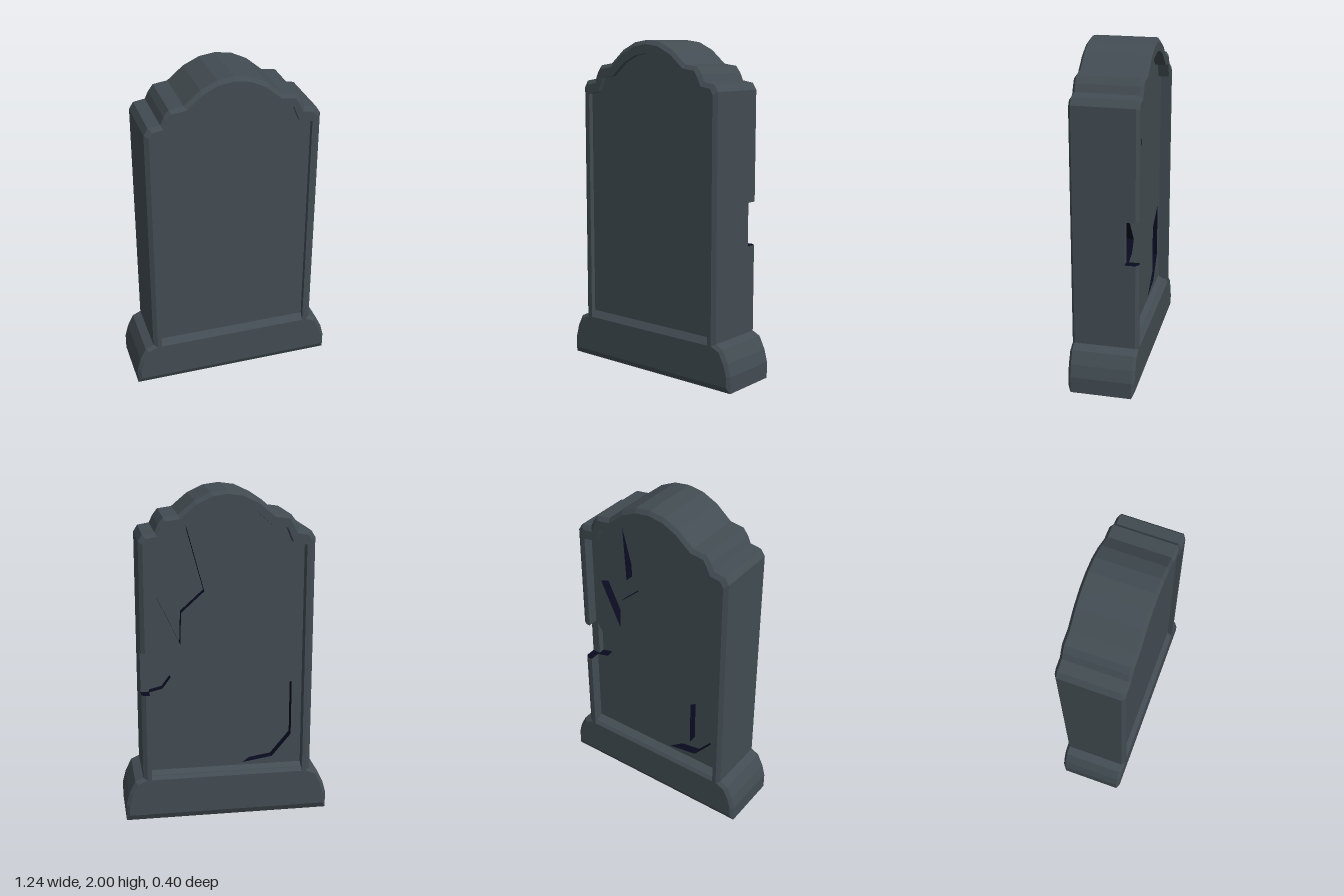
import * as THREE from 'three';

const stone = new THREE.MeshStandardMaterial({ color: 0x424c52 });
stone.name = 'slateStone';
const dark = new THREE.MeshStandardMaterial({ color: 0x0a0b20, side: THREE.DoubleSide });
dark.name = 'crackShadow';

// Depths: panel faces, notch through the rim, bottom of the cracks
const FRONT = 0.17, BACK = -0.135, NOTCH_Z = -0.12, FLOOR = -0.08;

// Right half outlines, bottom to apex; all have matching points
const OUTER = [[0.515, 0.26], [0.515, 0.8], [0.515, 1.06], [0.515, 1.715], [0.49, 1.755], [0.42, 1.767],
  [0.4, 1.81], [0.37, 1.85], [0.285, 1.862], [0.19, 1.942], [0.095, 1.987], [0, 2]];
const RIDGE = [[0.49, 0.26], [0.49, 0.8], [0.49, 1.06], [0.49, 1.7], [0.47, 1.732], [0.405, 1.743],
  [0.383, 1.79], [0.36, 1.828], [0.275, 1.84], [0.182, 1.918], [0.09, 1.963], [0, 1.976]];
const INNER = [[0.465, 0.3], [0.465, 0.8], [0.465, 1.06], [0.465, 1.675], [0.44, 1.68], [0.386, 1.69],
  [0.367, 1.735], [0.35, 1.777], [0.265, 1.788], [0.17, 1.87], [0.085, 1.91], [0, 1.924]];
const LIP = [[0.465, 0.26], ...INNER.slice(1)];
const NOTCH = [[0.465, 0.8], [0.385, 0.82], [0.334, 0.89], [0.465, 1.06]];
const CRACKS = {
  upperCrack: [[0.235, 1.795], [0.215, 1.45], [0.41, 1.375], [0.275, 1.09], [0.268, 1.28], [0.13, 1.405]],
  lowerCrack: [[-0.404, 0.83], [-0.25, 0.73], [-0.25, 0.425], [-0.1, 0.315], [-0.287, 0.345], [-0.404, 0.485]],
};

const mirror = (half) => [...half, ...half.slice(0, -1).reverse().map(([x, y]) => [-x, y])];
const atZ = (pts, z) => pts.map(([x, y]) => [x, y, z]);

function mesh(name, geometry, material = stone) {
  const m = new THREE.Mesh(geometry, material);
  m.name = name;
  return m;
}

// Flat-shaded skin over successive loops; skip(band, segment) leaves gaps
function skin(loops, closed = true, skip = () => false) {
  const pos = [];
  for (let b = 0; b < loops.length - 1; b++) {
    const A = loops[b], B = loops[b + 1], n = A.length;
    for (let i = 0; i < (closed ? n : n - 1); i++) {
      if (skip(b, i)) continue;
      const j = (i + 1) % n;
      pos.push(...A[i], ...B[i], ...B[j], ...A[i], ...B[j], ...A[j]);
    }
  }
  const g = new THREE.BufferGeometry();
  g.setAttribute('position', new THREE.Float32BufferAttribute(pos, 3));
  g.computeVertexNormals();
  return g;
}

// Flat plate facing front (dir 1) or back (dir -1)
function plate(pts, z, dir, holes = []) {
  const flip = (list) => list.map(([x, y]) => new THREE.Vector2(x * dir, y));
  const shape = new THREE.Shape(flip(pts));
  shape.holes = holes.map((h) => new THREE.Path(flip(h)));
  const g = new THREE.ShapeGeometry(shape);
  if (dir < 0) g.rotateY(Math.PI);
  return g.translate(0, 0, z);
}

export function createModel() {
  const group = new THREE.Group();
  group.name = 'gravestone';

  // Slab sides, raised flat rim and sloped sill, open where the notch breaks the back edge
  const outer = mirror(OUTER), ridge = mirror(RIDGE), lip = mirror(LIP), inner = mirror(INNER);
  group.add(mesh('slabRim', skin([
    atZ(inner, FRONT), atZ(lip, 0.2), atZ(ridge, 0.2), atZ(outer, 0.183), atZ(outer, NOTCH_Z),
    atZ(outer, -0.183), atZ(ridge, -0.2), atZ(lip, -0.2), atZ(inner, BACK),
  ], true, (band, seg) => band >= 4 && seg === 1)));

  // Recessed panels
  group.add(mesh('frontPanel', plate(inner, FRONT, 1)));
  const backOutline = [...inner.slice(0, 2), NOTCH[1], NOTCH[2], ...inner.slice(2)];
  group.add(mesh('backPanel', plate(backOutline, BACK, -1, Object.values(CRACKS))));

  // Cracks sunk into the back panel
  for (const [name, pts] of Object.entries(CRACKS)) {
    group.add(mesh(name + 'Floor', plate(pts, FLOOR, -1)));
    group.add(mesh(name + 'Walls', skin([atZ(pts, BACK), atZ(pts, FLOOR)]), dark));
  }

  // Edge notch: a shallow cut through the rim beside a deeper chip in the panel
  group.add(mesh('notchRimFloor', plate([[0.465, 0.8], [0.515, 0.8], [0.515, 1.06], [0.465, 1.06]], NOTCH_Z, -1)));
  group.add(mesh('notchChipFloor', plate(NOTCH, FLOOR, -1)));
  group.add(mesh('notchChipWall', skin([atZ(NOTCH, BACK), atZ(NOTCH, FLOOR)], false), dark));
  const step = [NOTCH[3], NOTCH[0]];
  group.add(mesh('notchStep', skin([atZ(step, FLOOR), atZ(step, NOTCH_Z)], false)));
  const cut = [[0.515, NOTCH_Z], [0.515, -0.183], [0.49, -0.2], [0.465, -0.2], [0.465, NOTCH_Z]];
  for (const y of [0.8, 1.06]) {
    const g = new THREE.ShapeGeometry(new THREE.Shape(cut.map(([x, z]) => new THREE.Vector2(x, z))));
    group.add(mesh('notchEnd', g.rotateX(Math.PI / 2).translate(0, y, 0), dark));
  }

  // Flared base with bevelled front, back and bottom edges
  const both = (half) => [...half, ...half.slice().reverse().map(([x, y]) => [-x, y])];
  const foot = both([[0.622, 0], [0.622, 0.1], [0.602, 0.175], [0.565, 0.25], [0.5, 0.28]]);
  const face = both([[0.602, 0.035], [0.602, 0.1], [0.582, 0.168], [0.548, 0.235], [0.49, 0.26]]);
  group.add(mesh('base', skin([atZ(face, 0.2), atZ(foot, 0.183), atZ(foot, -0.183), atZ(face, -0.2)])));
  group.add(mesh('baseFront', plate(face, 0.2, 1)));
  group.add(mesh('baseBack', plate(face, -0.2, -1)));
  return group;
}
